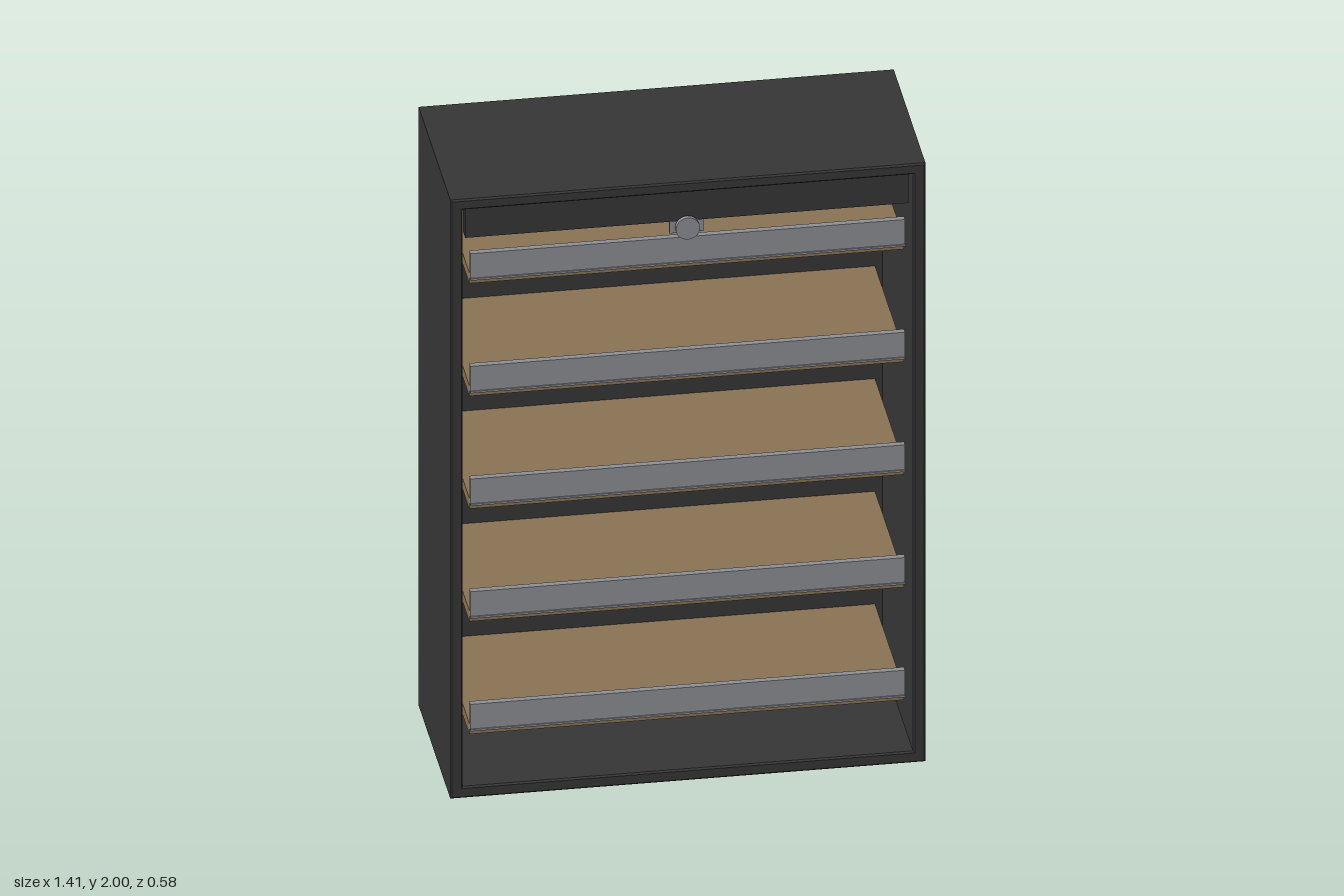
import * as THREE from 'three';

export function createModel() {
  const model = new THREE.Group();
  const charcoal = new THREE.MeshStandardMaterial({ name: 'charcoal', color: 0x363636 });
  const metal = new THREE.MeshStandardMaterial({ name: 'grey metal', color: 0x8e9096 });
  const wood = new THREE.MeshStandardMaterial({ name: 'wood', color: 0x8b7355 });

  const add = (name, geometry, material, x, y, z, parent = model) => {
    const mesh = new THREE.Mesh(geometry, material);
    mesh.name = name;
    mesh.position.set(x, y, z);
    parent.add(mesh);
    return mesh;
  };
  const box = (name, w, h, d, material, x, y, z, parent) =>
    add(name, new THREE.BoxGeometry(w, h, d), material, x, y, z, parent);
  const rect = (path, w, y0, y1) => {
    path.moveTo(-w, y0);
    path.lineTo(w, y0);
    path.lineTo(w, y1);
    path.lineTo(-w, y1);
    path.closePath();
    return path;
  };

  // Carcass: a four-sided frame with slightly eased edges
  const frame = rect(new THREE.Shape(), 0.705, 0, 2);
  frame.holes.push(rect(new THREE.Path(), 0.668, 0.038, 1.965));
  const bevel = 0.005;
  add('carcass', new THREE.ExtrudeGeometry(frame, {
    depth: 0.584 - 2 * bevel, bevelEnabled: true, bevelSize: bevel,
    bevelThickness: bevel, bevelOffset: -bevel, bevelSegments: 1,
  }), charcoal, 0, 0, -0.292 + bevel);

  // Back panel, set in from the rear edge
  box('backPanel', 1.336, 1.927, 0.02, charcoal, 0, 1.0015, -0.27);

  // Header panel across the top of the opening
  box('headerPanel', 1.316, 0.105, 0.04, charcoal, 0, 1.9125, 0.25);
  box('headerFiller', 1.336, 0.01, 0.04, charcoal, 0, 1.962, 0.245);

  // Five wooden shelves, each with a metal front rail
  for (let i = 0; i < 5; i++) {
    const shelf = new THREE.Group();
    shelf.name = 'shelf' + (i + 1);
    shelf.position.y = 0.198 + i * 0.3765;
    model.add(shelf);
    box('shelfBoard', 1.29, 0.036, 0.525, wood, 0, 0.018, 0.0025, shelf);
    box('frontRail', 1.29, 0.088, 0.02, metal, 0, 0.066, 0.275, shelf);
    box('railLip', 1.29, 0.006, 0.004, metal, 0, 0.025, 0.287, shelf);
  }

  // Latch under the header: round knob, backing disc and two side tabs
  const latch = new THREE.Group();
  latch.name = 'latch';
  latch.position.set(0, 1.843, 0.25);
  model.add(latch);
  const disc = (name, r, d, z) =>
    add(name, new THREE.CylinderGeometry(r, r, d, 24).rotateX(Math.PI / 2), metal, 0, 0, z, latch);
  disc('latchKnob', 0.036, 0.014, 0.033);
  disc('latchStem', 0.024, 0.05, 0.005);
  for (const side of [-1, 1]) {
    box('latchTab', 0.02, 0.04, 0.014, metal, side * 0.04, -0.006, 0.006, latch);
    box('latchArm', 0.04, 0.02, 0.01, metal, side * 0.02, -0.006, 0.006, latch);
  }

  return model;
}
